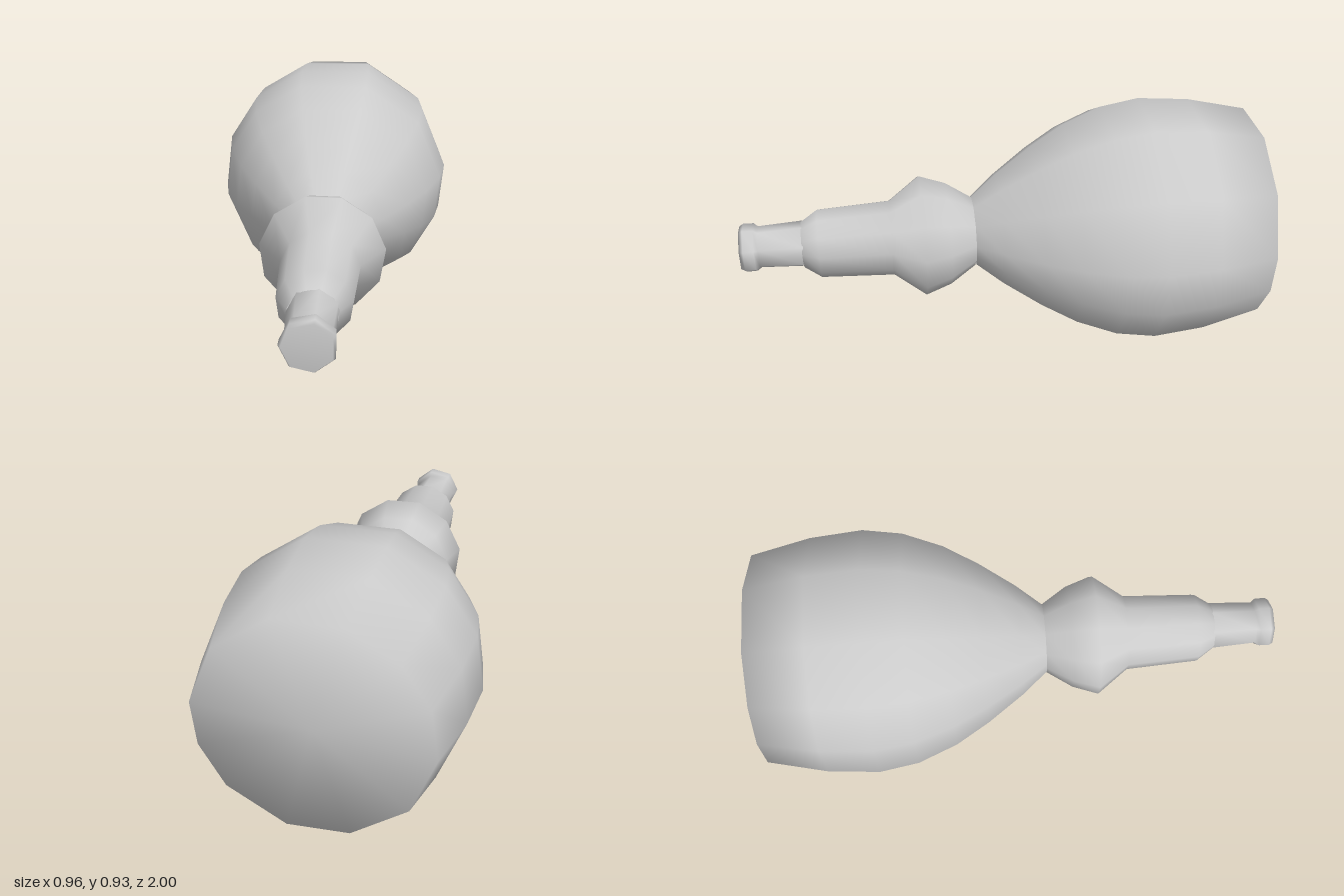
import * as THREE from 'three';

const AXIS_Y = 0.467;

// Skin of polygonal rings along z, running from back to front.
// angles: corner angles in degrees, counter-clockwise seen from the front.
// profile: [z, radius] pairs; a radius of 0 closes the end with a flat cap.
function loft(name, angles, profile, material) {
  const n = angles.length;
  const positions = [];
  const index = [];
  for (const [z, r] of profile) {
    for (const deg of angles) {
      const a = THREE.MathUtils.degToRad(deg);
      positions.push(r * Math.cos(a), AXIS_Y + r * Math.sin(a), z);
    }
  }
  for (let i = 0; i < profile.length - 1; i++) {
    for (let j = 0; j < n; j++) {
      const k = (j + 1) % n;
      const a = i * n + j, b = i * n + k, c = a + n, d = b + n;
      if (profile[i][1] > 0) index.push(a, b, d);
      if (profile[i + 1][1] > 0) index.push(a, d, c);
      else index.push(a, b, c);
    }
  }
  // collapsed first ring: keep only the outward triangle of each quad
  const geometry = new THREE.BufferGeometry();
  geometry.setAttribute('position', new THREE.Float32BufferAttribute(positions, 3));
  geometry.setIndex(index);
  geometry.computeVertexNormals();
  const mesh = new THREE.Mesh(geometry, material);
  mesh.name = name;
  return mesh;
}

// Evenly spaced corners
const ring = (sides, start) => Array.from({ length: sides }, (_, i) => start + (i * 360) / sides);

export function createModel() {
  const group = new THREE.Group();
  group.name = 'bulbWithStem';
  const grey = new THREE.MeshStandardMaterial({ color: 0xcccccc, side: THREE.DoubleSide });

  // Large rounded bulb with a slightly uneven outline and a flat back
  const bulbAngles = [6, 39, 73, 107, 135, 160, 186, 219, 253, 284, 318, 343];
  group.add(loft('bulb', bulbAngles, [
    [-1, 0], [-1, 0.415], [-0.77, 0.467], [-0.57, 0.484], [-0.42, 0.46],
    [-0.27, 0.4], [-0.14, 0.322], [0, 0.222], [0.1, 0.137],
  ], grey));

  // Collar bulge running into the tapered shaft
  group.add(loft('collarAndShaft', ring(11, 7), [
    [0.1, 0.137], [0.2, 0.203], [0.3, 0.238], [0.42, 0.148],
    [0.7, 0.134], [0.765, 0.09],
  ], grey));

  // Thin tip with a small end knob
  group.add(loft('tip', ring(7, 25), [
    [0.76, 0.092], [0.93, 0.083], [0.945, 0.096], [0.985, 0.097], [1, 0.088], [1, 0],
  ], grey));

  return group;
}
